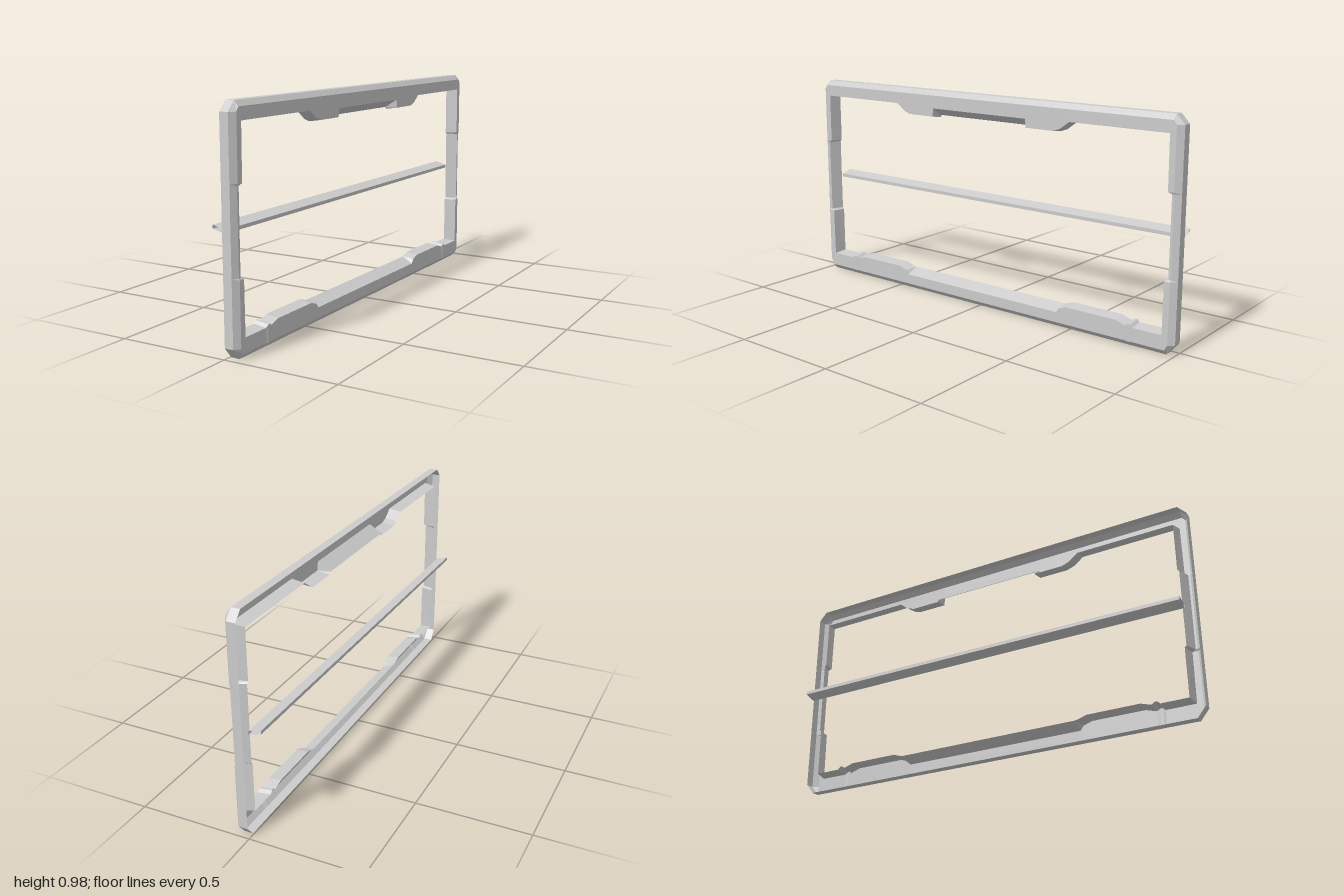
import * as THREE from 'three';

const material = new THREE.MeshStandardMaterial({ color: 0xcccccc, flatShading: true, side: THREE.DoubleSide });

// Skins a series of equal-length cross-sections with flat quads
function loft(sections, closed) {
  const pos = [];
  const count = closed ? sections.length : sections.length - 1;
  for (let i = 0; i < count; i++) {
    const s = sections[i], t = sections[(i + 1) % sections.length];
    for (let j = 0; j < s.length - 1; j++) {
      const [a, b, c, d] = [s[j], t[j], t[j + 1], s[j + 1]];
      pos.push(...a, ...b, ...c, ...a, ...c, ...d);
    }
  }
  const geometry = new THREE.BufferGeometry();
  geometry.setAttribute('position', new THREE.Float32BufferAttribute(pos, 3));
  geometry.computeVertexNormals();
  return geometry;
}

function addMesh(group, name, geometry) {
  const mesh = new THREE.Mesh(geometry, material);
  mesh.name = name;
  group.add(mesh);
}

const BACK = 0.005, SIDE = 0.044, FRONT = 0.063;
const clamp = THREE.MathUtils.clamp;

// Open-backed channel: outer wall, bevel, front face, inner wall
function section({ outer, inner, slope, front = FRONT }) {
  const [zo, yo] = outer, [zi, yi] = inner, [dz, dy] = slope;
  return [
    [BACK, yo, zo],
    [SIDE, yo, zo],
    [front, clamp(yo, 0.022, 0.953), clamp(zo, -0.975, 0.975)],
    [front, yi + dy, zi + dz],
    [BACK, yi, zi],
  ];
}

function frameGeometry() {
  const half = [];
  const top = (z, y, dy = 0.008) => half.push({ outer: [z, 0.975], inner: [z, y], slope: [0, dy] });
  const bottom = (z, y, dy = -0.008, front) => half.push({ outer: [z, 0], inner: [z, y], slope: [0, dy], front });
  const post = (y, z, dz, front) => half.push({ outer: [1, y], inner: [z, y], slope: [dz, 0], front });

  // top rail with its hanging grip and central recess
  top(0.26, 0.858, 0.036);
  top(0.265, 0.848);
  top(0.405, 0.848);
  top(0.44, 0.86);
  top(0.485, 0.893);
  // top corner
  half.push({ outer: [0.962, 0.975], inner: [0.937, 0.893], slope: [0.01, 0.008] });
  half.push({ outer: [1, 0.935], inner: [0.937, 0.893], slope: [0.01, 0.008] });
  // post, slimmer in the middle
  post(0.672, 0.937, 0.012);
  post(0.664, 0.945, 0.02, 0.059);
  post(0.318, 0.945, 0.02, 0.059);
  post(0.31, 0.937, 0.012);
  // bottom corner
  half.push({ outer: [1, 0.046], inner: [0.937, 0.092], slope: [0.01, -0.008] });
  half.push({ outer: [0.962, 0], inner: [0.937, 0.092], slope: [0.01, -0.008] });
  // bottom rail with a small rib, raised pad and central recess
  bottom(0.815, 0.092);
  bottom(0.803, 0.104, -0.008, 0.067);
  bottom(0.79, 0.104, -0.008, 0.067);
  bottom(0.778, 0.094);
  bottom(0.73, 0.109);
  bottom(0.49, 0.109);
  bottom(0.45, 0.096);
  bottom(0.435, 0.094, -0.026);

  const mirrored = half.map(s => ({
    ...s,
    outer: [-s.outer[0], s.outer[1]],
    inner: [-s.inner[0], s.inner[1]],
    slope: [-s.slope[0], s.slope[1]],
  })).reverse();
  return loft([...half, ...mirrored].map(section), true);
}

// Thin tilted slat, open at both ends
function slatGeometry() {
  const profile = [[-0.07, 0.49], [-0.07, 0.505], [-0.015, 0.49], [-0.015, 0.475], [-0.07, 0.49]];
  return loft([-0.985, 0.96].map(z => profile.map(([x, y]) => [x, y, z])), false);
}

export function createModel() {
  const group = new THREE.Group();
  group.name = 'framedPanelTrim';
  addMesh(group, 'frame', frameGeometry());
  addMesh(group, 'slat', slatGeometry());
  return group;
}
